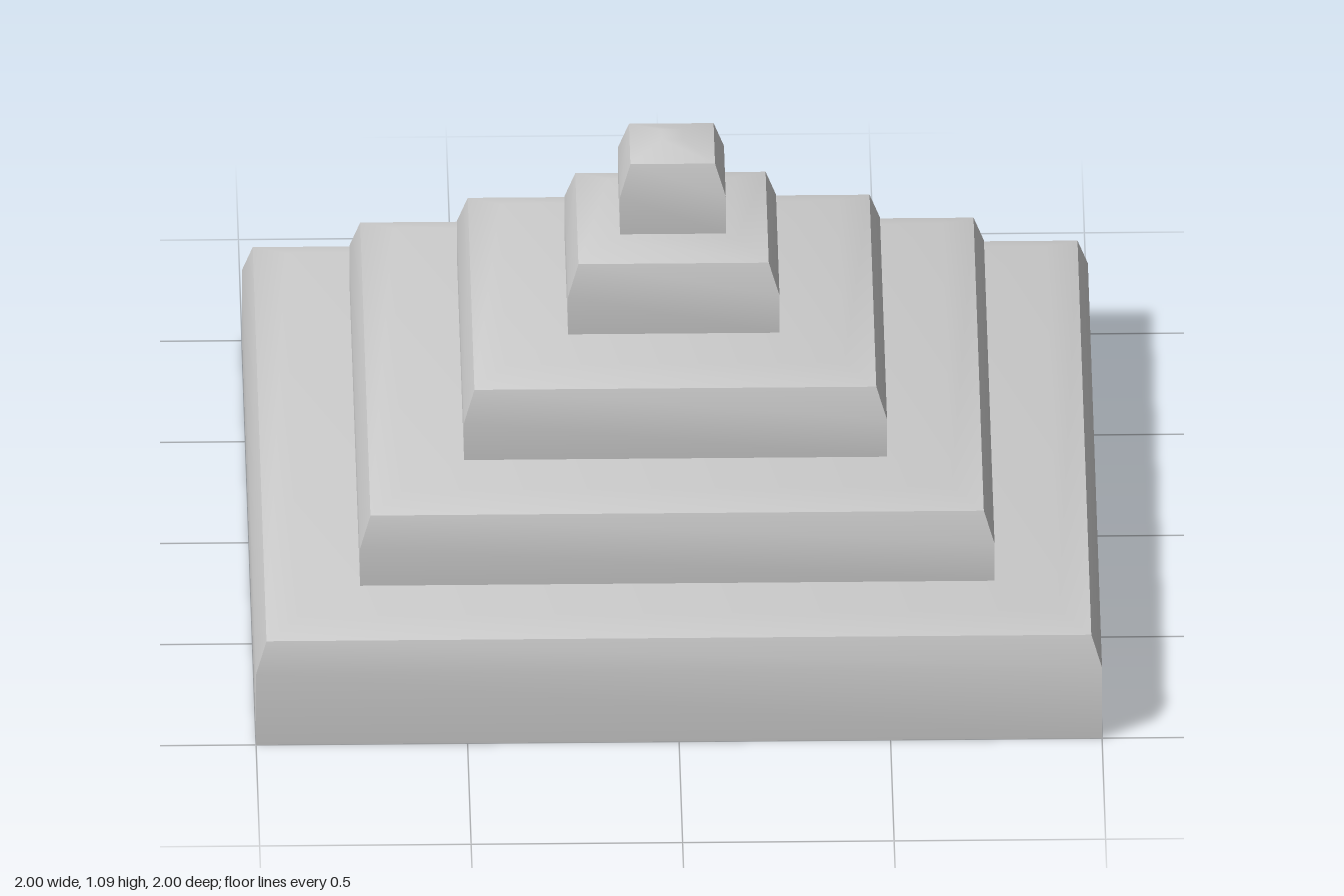
import * as THREE from 'three';
import { toCreasedNormals } from 'three/addons/utils/BufferGeometryUtils.js';

const material = new THREE.MeshStandardMaterial({ color: 0xcccccc });

// Square slab with softened top edges: a four-sided lathe of its half profile
function makeTier(half, bottom, top) {
  const profile = [
    [0, bottom],
    [half, bottom],
    [half, top - 0.1],
    [half - 0.025, top - 0.025],
    [half - 0.1, top],
    [0, top],
  ].map(([r, y]) => new THREE.Vector2(r * Math.SQRT2, y));
  const lathe = new THREE.LatheGeometry(profile, 4, Math.PI / 4);
  return new THREE.Mesh(toCreasedNormals(lathe, THREE.MathUtils.degToRad(30)), material);
}

export function createModel() {
  const model = new THREE.Group();
  model.name = 'steppedPyramid';

  // Five tiers, each standing on the one below
  const halfWidths = [1, 0.75, 0.5, 0.25, 0.125];
  const names = ['baseTier', 'secondTier', 'thirdTier', 'fourthTier', 'capTier'];
  halfWidths.forEach((half, i) => {
    const top = 0.29 + i * 0.2;
    const tier = makeTier(half, i === 0 ? 0 : top - 0.2, top);
    tier.name = names[i];
    model.add(tier);
  });

  return model;
}
